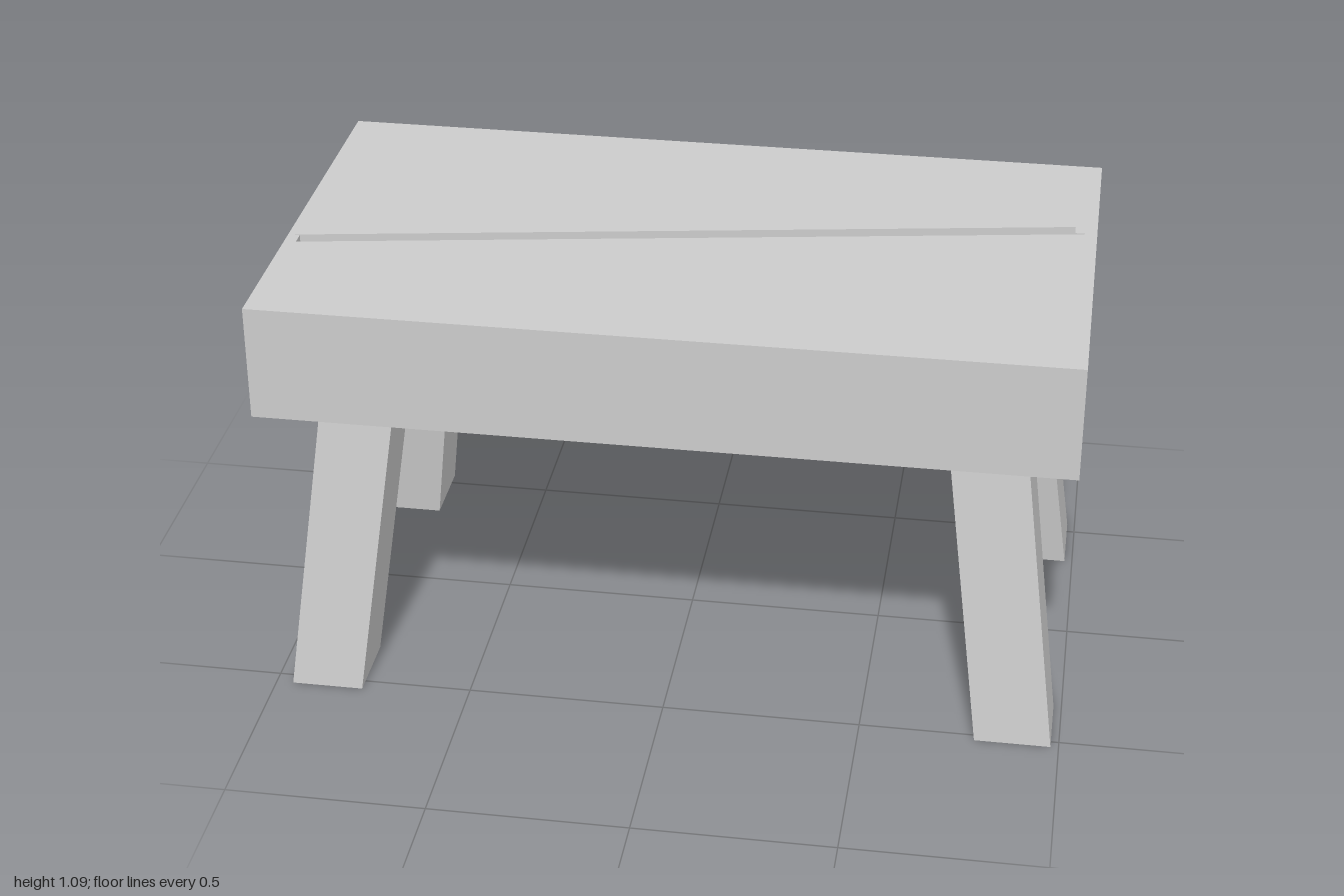
import * as THREE from 'three';

const material = new THREE.MeshStandardMaterial({ color: 0xcccccc, flatShading: true });

const W = 1, D = 0.555;                               // half width and half depth of the top
const BOTTOM = 0.795, FLOOR = 0.8, GROOVE = 1.03, TOP = 1.09;

// Horizontal layer between two heights, from an outline of [x, z] points
function layer(name, outline, y0, y1, hole) {
  const points = (list) => list.map(([x, z]) => new THREE.Vector2(x, -z));
  const shape = new THREE.Shape(points(outline));
  if (hole) shape.holes.push(new THREE.Path(points(hole)));
  const geometry = new THREE.ExtrudeGeometry(shape, { depth: y1 - y0, bevelEnabled: false });
  geometry.rotateX(-Math.PI / 2).translate(0, y0, 0);
  const mesh = new THREE.Mesh(geometry, material);
  mesh.name = name;
  return mesh;
}

// Splayed leg: a box whose foot and head are given as [x0, x1, z0, z1]
function leg(name, foot, head) {
  const geometry = new THREE.BoxGeometry(1, 1, 1);
  const p = geometry.attributes.position;
  for (let i = 0; i < p.count; i++) {
    const up = p.getY(i) > 0;
    const r = up ? head : foot;
    p.setXYZ(i, p.getX(i) > 0 ? r[1] : r[0], up ? BOTTOM : 0, p.getZ(i) > 0 ? r[3] : r[2]);
  }
  geometry.computeVertexNormals();
  const mesh = new THREE.Mesh(geometry, material);
  mesh.name = name;
  return mesh;
}

export function createModel() {
  const model = new THREE.Group();
  model.name = 'bench';

  // Thick top, with a slot in each end and a diagonal groove above
  const top = new THREE.Group();
  top.name = 'benchTop';
  const full = [[-W, D], [W, D], [W, -D], [-W, -D]];
  const slotted = [
    [-W, D], [W, D],
    [W, -0.155], [0.945, -0.155], [0.945, -0.192], [W, -0.192],
    [W, -D], [-W, -D],
    [-W, 0.148], [-0.97, 0.148], [-0.97, 0.185], [-W, 0.185],
  ];
  const groove = [
    [-0.99, 0.148], [0.945, -0.19], [0.945, -0.155], [0.985, -0.155],
    [-0.97, 0.185], [-0.97, 0.148],
  ];
  top.add(
    layer('underside', full, BOTTOM, FLOOR),
    layer('slottedCore', slotted, FLOOR, GROOVE),
    layer('groovedSurface', full, GROOVE, TOP, groove),
  );
  model.add(top);

  // Four legs splayed outwards on both axes
  model.add(
    leg('frontLeftLeg', [0.79, 0.98, 0.345, 0.522], [0.685, 0.875, 0.25, 0.43]),
    leg('frontRightLeg', [-0.957, -0.775, 0.345, 0.535], [-0.86, -0.675, 0.235, 0.43]),
    leg('backLeftLeg', [0.79, 0.98, -0.54, -0.345], [0.685, 0.875, -0.435, -0.24]),
    leg('backRightLeg', [-0.97, -0.775, -0.54, -0.345], [-0.86, -0.675, -0.43, -0.24]),
  );
  return model;
}
